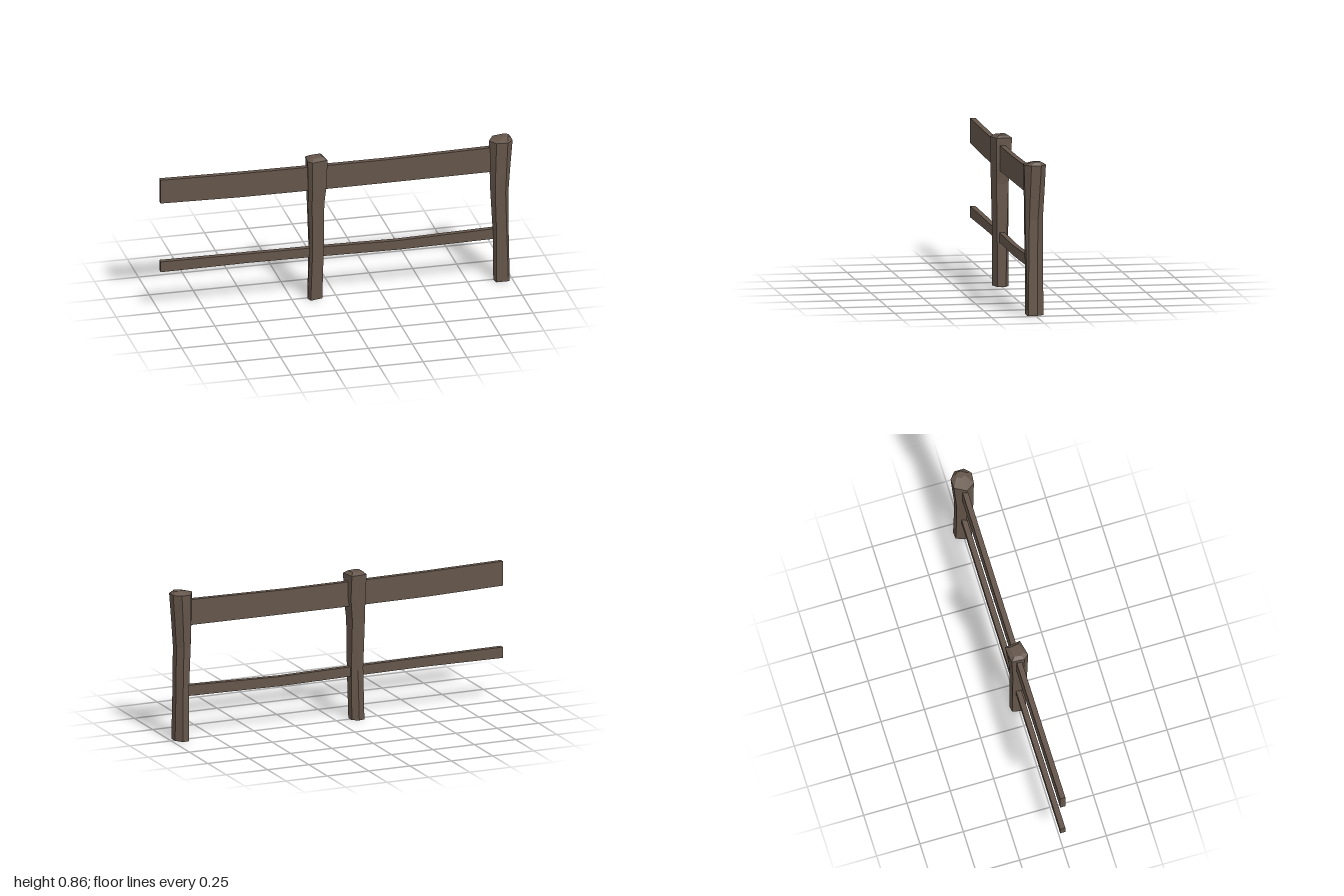
import * as THREE from 'three';

// Lofts a closed post through rings of [y, xMin, xMax, zMin, zMax];
// the outline blends from the foot polygon to the head polygon.
function postGeometry(rings, foot, head) {
  const height = rings[rings.length - 1][0];
  const loops = rings.map(([y, x0, x1, z0, z1]) => foot.map(([fx, fz], i) => {
    const t = y / height;
    const u = THREE.MathUtils.lerp(fx, head[i][0], t);
    const v = THREE.MathUtils.lerp(fz, head[i][1], t);
    return new THREE.Vector3((x0 + x1) / 2 + u * (x1 - x0) / 2, y, (z0 + z1) / 2 + v * (z1 - z0) / 2);
  }));
  const tris = [];
  const n = foot.length;
  const centre = (loop) => loop.reduce((s, p) => s.add(p), new THREE.Vector3()).divideScalar(n);
  const low = loops[0], high = loops[loops.length - 1];
  const lowMid = centre(low), highMid = centre(high);
  for (let j = 0; j < n; j++) {
    const k = (j + 1) % n;
    for (let i = 0; i < loops.length - 1; i++) {
      const a = loops[i], b = loops[i + 1];
      tris.push(a[j], b[j], a[k], a[k], b[j], b[k]);
    }
    tris.push(lowMid, low[j], low[k], highMid, high[k], high[j]);
  }
  const geometry = new THREE.BufferGeometry().setFromPoints(tris);
  geometry.computeVertexNormals();
  return geometry;
}

// Sagging board: extrudes a side outline given as [x, bottom, top] stations.
function railGeometry(stations) {
  const outline = [
    ...stations.map(([x, b]) => new THREE.Vector2(x, b)),
    ...stations.slice().reverse().map(([x, , t]) => new THREE.Vector2(x, t)),
  ];
  const geometry = new THREE.ExtrudeGeometry(new THREE.Shape(outline), { depth: 0.03, bevelEnabled: false });
  return geometry.translate(0, 0, -0.016);
}

export function createModel() {
  const group = new THREE.Group();
  const wood = new THREE.MeshStandardMaterial({ color: 0x64554a, flatShading: true });
  wood.name = 'weathered wood';
  const add = (name, geometry) => {
    const mesh = new THREE.Mesh(geometry, wood);
    mesh.name = name;
    group.add(mesh);
  };

  // End post, flaring towards a blunt raised head
  add('endPost', postGeometry([
    [0.003, 0.895, 0.98, -0.05, 0.045],
    [0.3, 0.891, 0.975, -0.046, 0.049],
    [0.54, 0.877, 0.974, -0.047, 0.054],
    [0.7, 0.873, 0.987, -0.055, 0.057],
    [0.845, 0.87, 1.0, -0.061, 0.062],
    [0.864, 0.945, 0.985, -0.03, 0.02],
  ],
  [[1, 0.93], [0.8, 1], [-0.8, 1], [-1, 0.2], [-0.6, -0.9], [0.3, -1], [1, -0.15]],
  [[1, 0.42], [0.45, 1], [-0.5, 0.9], [-1, 0.1], [-0.45, -0.95], [0.4, -1], [1, -0.48]]));

  // Middle post, slimmer with a kinked shoulder
  add('middlePost', postGeometry([
    [0.003, -0.162, -0.083, -0.045, 0.042],
    [0.3, -0.154, -0.075, -0.042, 0.044],
    [0.58, -0.162, -0.073, -0.045, 0.05],
    [0.7, -0.163, -0.058, -0.05, 0.053],
    [0.838, -0.167, -0.056, -0.056, 0.055],
    [0.853, -0.145, -0.075, -0.032, 0.03],
  ],
  [[1, 0.6], [-0.75, 1], [-1, 0.3], [-0.75, -0.85], [0.1, -1], [1, -0.5]],
  [[1, 0.62], [-0.62, 1], [-1, 0.5], [-0.93, -0.8], [0, -0.95], [0.76, -1]]));

  // Boards running through the posts
  add('upperRail', railGeometry([
    [-1, 0.668, 0.808], [-0.55, 0.658, 0.8], [-0.1, 0.656, 0.797], [0.3, 0.657, 0.796], [0.92, 0.66, 0.806],
  ]));
  add('lowerRail', railGeometry([
    [-1, 0.253, 0.315], [-0.5, 0.257, 0.311], [-0.1, 0.253, 0.308], [0.35, 0.246, 0.301], [0.92, 0.254, 0.315],
  ]));
  return group;
}
